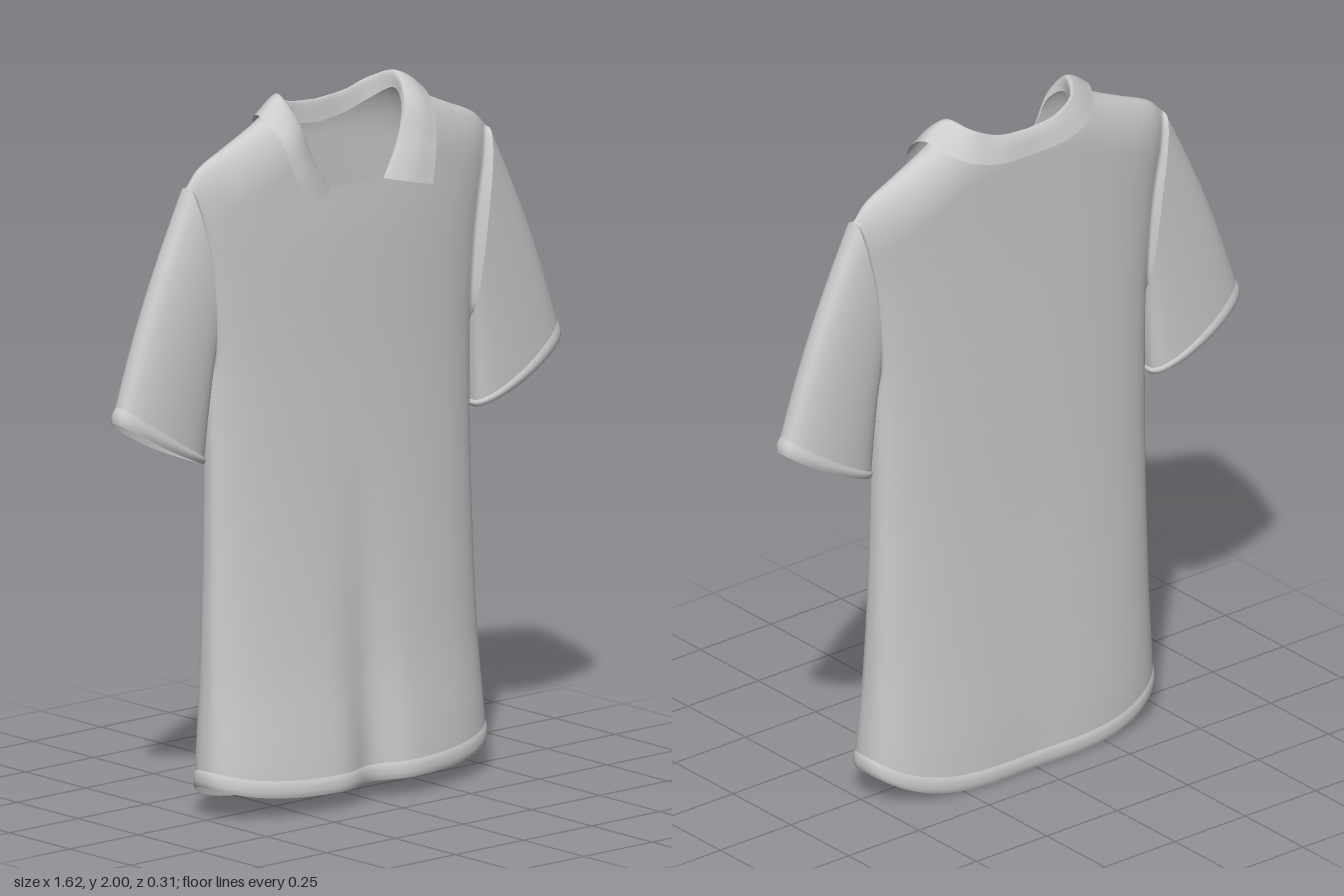
import * as THREE from 'three';
import { mergeGeometries, mergeVertices } from 'three/addons/utils/BufferGeometryUtils.js';

const cloth = new THREE.MeshStandardMaterial({ color: 0xcccccc, side: THREE.DoubleSide, roughness: 0.9 });

// Smooth function through [position, value] pairs
function table(pts) {
  const slope = (i) => {
    const a = pts[Math.max(i - 1, 0)], b = pts[Math.min(i + 1, pts.length - 1)];
    return (b[1] - a[1]) / (b[0] - a[0]);
  };
  return (x) => {
    if (x <= pts[0][0]) return pts[0][1];
    if (x >= pts[pts.length - 1][0]) return pts[pts.length - 1][1];
    let i = 0;
    while (x > pts[i + 1][0]) i++;
    const [x0, y0] = pts[i], [x1, y1] = pts[i + 1], h = x1 - x0, t = (x - x0) / h;
    const t2 = t * t, t3 = t2 * t;
    return y0 * (2 * t3 - 3 * t2 + 1) + y1 * (3 * t2 - 2 * t3)
      + h * (slope(i) * (t3 - 2 * t2 + t) + slope(i + 1) * (t3 - t2));
  };
}

// Grid surface from fn(u, v) -> [x, y, z], u and v in 0..1
function grid(fn, nu, nv, flip = false) {
  const pos = [], idx = [];
  for (let j = 0; j <= nv; j++)
    for (let i = 0; i <= nu; i++) pos.push(...fn(i / nu, j / nv));
  for (let j = 0; j < nv; j++)
    for (let i = 0; i < nu; i++) {
      const a = j * (nu + 1) + i, b = a + 1, c = a + nu + 1, d = c + 1;
      idx.push(...(flip ? [a, d, b, a, c, d] : [a, b, d, a, d, c]));
    }
  const g = new THREE.BufferGeometry();
  g.setAttribute('position', new THREE.Float32BufferAttribute(pos, 3));
  g.setIndex(idx);
  return g;
}

function part(name, ...geos) {
  const g = mergeVertices(mergeGeometries(geos), 1e-4);
  g.computeVertexNormals();
  const mesh = new THREE.Mesh(g, cloth);
  mesh.name = name;
  return mesh;
}

// Body measurements by height, and edges by distance from the middle
const halfWidth = table([[0, 0.5], [0.12, 0.5], [0.4, 0.485], [0.8, 0.475], [1.2, 0.475], [1.35, 0.483], [1.55, 0.505], [1.7, 0.532], [1.79, 0.55]]);
const frontZ = table([[0, 0.165], [0.15, 0.15], [0.4, 0.117], [0.8, 0.085], [1.2, 0.067], [1.6, 0.06], [1.8, 0.052], [2, 0.05]]);
const backZ = table([[0, -0.157], [0.15, -0.152], [0.4, -0.138], [0.8, -0.12], [1.2, -0.11], [1.6, -0.105], [2, -0.105]]);
const shoulderY = table([[0, 2.0], [0.15, 1.99], [0.22, 1.97], [0.3, 1.928], [0.4, 1.883], [0.5, 1.838], [0.55, 1.79]]);
const frontNeck = table([[0, 1.73], [0.05, 1.73], [0.1, 1.735], [0.15, 1.82], [0.19, 1.91], [0.22, 1.97]]);
const backNeck = table([[0, 1.88], [0.1, 1.89], [0.17, 1.925], [0.22, 1.97]]);

// Armhole: an upright oval shared by body and sleeve
const ARM_Y = 1.53, ARM_H = 0.26, ARM_D = 0.058;
const armDepth = (y) => ARM_D * Math.pow(Math.max(0, 1 - ((y - ARM_Y) / ARM_H) ** 2), 0.35);
const midZ = (y) => (frontZ(y) + backZ(y)) / 2;

function bodyZ(u, x, y, side) {
  const a = Math.abs(u), p = side > 0 ? 2.2 : 2.8;
  const half = (frontZ(y) - backZ(y)) / 2;
  const t = THREE.MathUtils.clamp((y - shoulderY(Math.abs(x)) + 0.16) / 0.16, 0, 1);
  const round = Math.pow(Math.max(0, 1 - a ** p), 1 / p) * Math.sqrt(1 - t * t);
  const d = Math.pow((half * round) ** 4 + (armDepth(y) * a ** 20) ** 4, 0.25);
  // soft vertical folds that grow towards the hem
  const k = Math.max(0, 1 - y / 1.2) ** 2;
  const fold = side > 0 ? -0.045 * Math.exp(-((x / 0.08) ** 2)) : 0.006 * Math.exp(-((x / 0.12) ** 2));
  return midZ(y) + side * d + k * fold;
}

const hemY = (u, side) => (side > 0 ? 0.05 : 0) + (side > 0 ? 0.04 : 0.09) * u ** 4;

function bodyPanel(side) {
  return grid((s, v) => {
    const u = Math.sin((s - 0.5) * Math.PI), ax = Math.abs(u) * 0.55;
    const top = ax >= 0.22 ? shoulderY(ax) : side > 0 ? frontNeck(ax) : backNeck(ax);
    const y = THREE.MathUtils.lerp(hemY(u, side), top, 1 - (1 - v) ** 1.6);
    const x = u * halfWidth(y);
    return [x, y, bodyZ(u, x, y, side)];
  }, 110, 70, side < 0);
}

// Turned-up band around the bottom edge
function hemBand(side) {
  return grid((s, v) => {
    const u = Math.sin((s - 0.5) * Math.PI);
    const y = hemY(u, side) + 0.048 * v, x = u * halfWidth(y);
    const puff = 0.005 * Math.sqrt(Math.sin(Math.PI * Math.min(1, v)) + 1e-9);
    const lift = puff * Math.sqrt(Math.max(0, 1 - u * u));
    return [x + u * puff, y, bodyZ(u, x, y, side) + side * lift];
  }, 80, 6, side < 0);
}

// Sleeve lofted from the armhole oval (t = 0) to the slanted cuff (t = 1)
function sleeve(sign, t0, t1, rows, puff) {
  return grid((s, v) => {
    const a = s * Math.PI * 2, c = Math.cos(a), sn = Math.sin(a), t = t0 + (t1 - t0) * v;
    const out = puff * Math.sin(Math.PI * v);
    const y0 = ARM_Y + ARM_H * c, z0 = midZ(y0) + Math.sign(sn) * armDepth(y0);
    const x1 = 0.655 + 0.155 * c, y1 = 1.085 + 0.08 * c - 0.012 * sn * sn;
    const z1 = -0.027 + 0.06 * Math.sign(sn) * Math.abs(sn) ** 0.75;
    const x = halfWidth(y0) * (1 - t) + x1 * t + 0.018 * Math.sin(Math.PI * t) * (c + 1) / 2;
    const y = y0 * (1 - t) + y1 * t;
    return [sign * (x + out * c), y, z0 * (1 - t) + z1 * t + out * sn];
  }, 56, rows, sign < 0);
}

// Collar: neck seam, fold and free edge, each from back middle to front point
const curve = (pts) => new THREE.CatmullRomCurve3(pts.map((p) => new THREE.Vector3(...p)));
const seam = curve([[0, 1.875, -0.1], [0.1, 1.89, -0.098], [0.17, 1.92, -0.08], [0.205, 1.955, -0.02], [0.19, 1.92, 0.03], [0.155, 1.825, 0.049], [0.1, 1.73, 0.056]]);
const fold = curve([[0, 1.94, -0.11], [0.1, 1.95, -0.107], [0.175, 1.98, -0.085], [0.21, 2.0, -0.02], [0.195, 1.93, 0.042], [0.16, 1.83, 0.058], [0.1, 1.73, 0.062]]);
const edge = curve([[0, 1.87, -0.137], [0.13, 1.88, -0.137], [0.23, 1.91, -0.11], [0.29, 1.955, -0.02], [0.282, 1.9, 0.06], [0.26, 1.8, 0.095], [0.235, 1.7, 0.11]]);

function collar() {
  return grid((s, v) => {
    const w = s * 2 - 1, t = Math.abs(w);
    const a = seam.getPoint(t), b = fold.getPoint(t), d = edge.getPoint(t);
    const m = b.clone().lerp(d, 0.45);
    m.y += 0.018 * (1 - t);
    m.z += 0.012 * t;
    const p = new THREE.CatmullRomCurve3([a, b, m, d]).getPoint(v);
    return [Math.sign(w) * p.x, p.y, p.z];
  }, 80, 15);
}

// Small insert below the neck opening
function insert() {
  return grid((s, v) => {
    const w = THREE.MathUtils.lerp(0.035, 0.105, v ** 0.85), x = (s * 2 - 1) * w;
    const y = 1.61 + 0.122 * v;
    return [x, y, bodyZ(x / halfWidth(y), x, y, 1) + 0.005];
  }, 12, 8);
}

export function createModel() {
  const shirt = new THREE.Group();
  shirt.name = 'shirt';
  shirt.add(
    part('body', bodyPanel(1), bodyPanel(-1)),
    part('hemBand', hemBand(1), hemBand(-1)),
    part('collar', collar()),
    part('neckInsert', insert()),
  );
  for (const [name, sign] of [['left', 1], ['right', -1]]) {
    shirt.add(part(name + 'Sleeve', sleeve(sign, 0, 1, 24, 0)));
    shirt.add(part(name + 'Cuff', sleeve(sign, 0.93, 1, 6, 0.005)));
  }
  return shirt;
}
